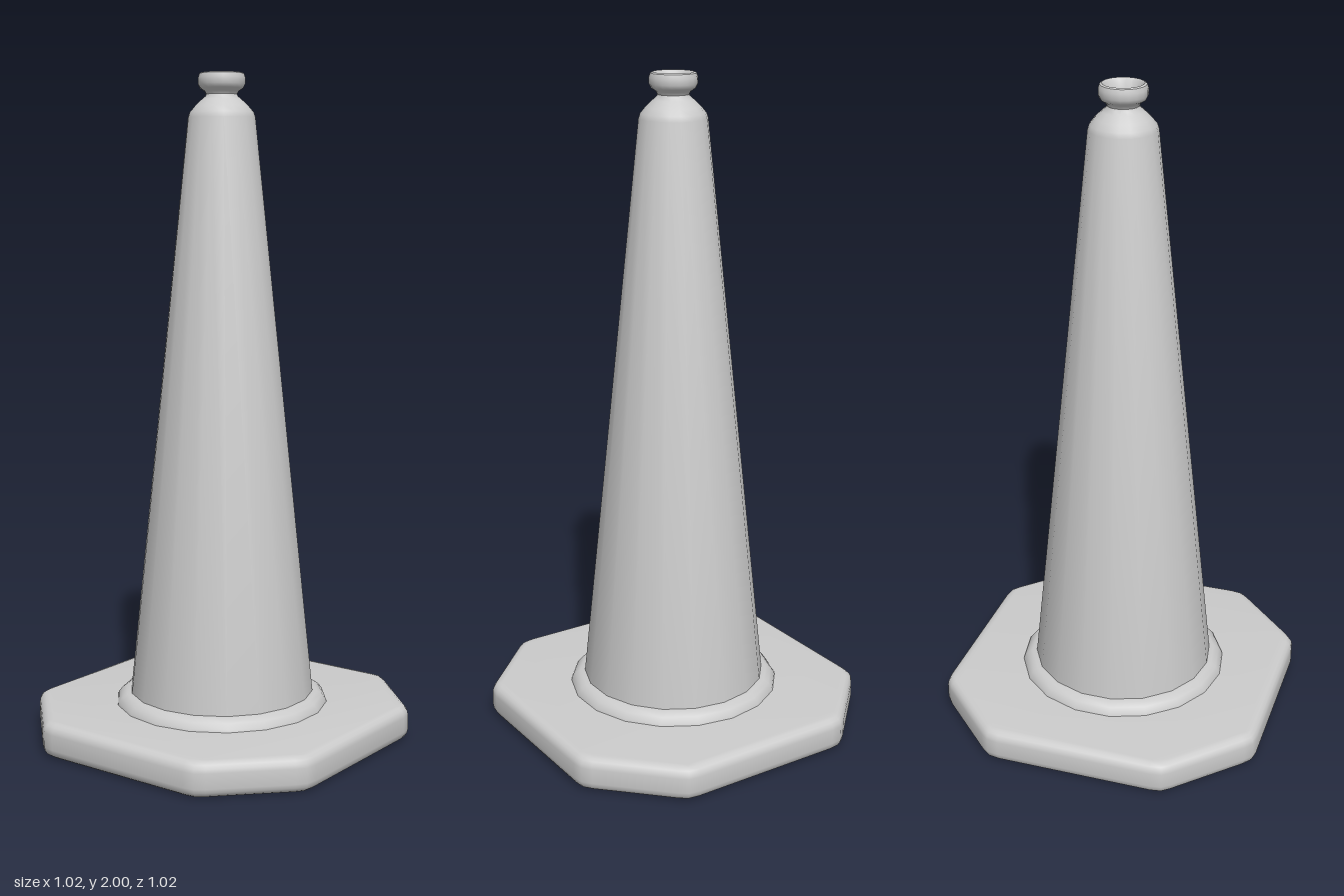
import * as THREE from 'three';
import { toCreasedNormals } from 'three/addons/utils/BufferGeometryUtils.js';

const SIDES = 18;

export function createModel() {
  const group = new THREE.Group();
  const material = new THREE.MeshStandardMaterial({ color: 0xcccccc });

  const add = (name, geometry) => {
    const mesh = new THREE.Mesh(toCreasedNormals(geometry, 0.7), material);
    mesh.name = name;
    group.add(mesh);
  };
  // Revolved part from [radius, height] pairs, listed bottom to top
  const turned = (name, profile) => add(name, new THREE.LatheGeometry(
    profile.map(([r, y]) => new THREE.Vector2(r, y)), SIDES, Math.PI / 2));

  // Octagonal foot: a square with cut, softened corners and rounded rims
  const bevel = 0.03, height = 0.105;
  const corner = [[0.478, 0.24], [0.474, 0.265], [0.46, 0.283],
    [0.283, 0.46], [0.265, 0.474], [0.24, 0.478]];
  const outline = [];
  for (let i = 0; i < 4; i++) {
    for (const [x, y] of corner) {
      outline.push(new THREE.Vector2(x, y).rotateAround(new THREE.Vector2(), i * Math.PI / 2));
    }
  }
  const foot = new THREE.ExtrudeGeometry(new THREE.Shape(outline), {
    depth: height - 2 * bevel, bevelSize: bevel, bevelThickness: bevel, bevelSegments: 4,
  });
  foot.rotateX(-Math.PI / 2).translate(0, bevel, 0);
  add('base', foot);

  // Rounded collar where the cone meets the foot
  turned('collar', [[0.325, 0.1], [0.322, 0.113], [0.31, 0.128], [0.295, 0.138], [0.27, 0.14]]);

  // Tapered body with a rounded shoulder
  turned('cone', [[0.281, 0.135], [0.1, 1.87], [0.095, 1.885], [0.08, 1.903],
    [0.06, 1.922], [0.048, 1.932], [0.045, 1.94]]);

  // Grip knob with a recessed top
  turned('knob', [[0.045, 1.935], [0.05, 1.946], [0.064, 1.955], [0.07, 1.967], [0.07, 1.985],
    [0.066, 1.997], [0.06, 2], [0.054, 1.995], [0.046, 1.965], [0, 1.965]]);

  return group;
}
